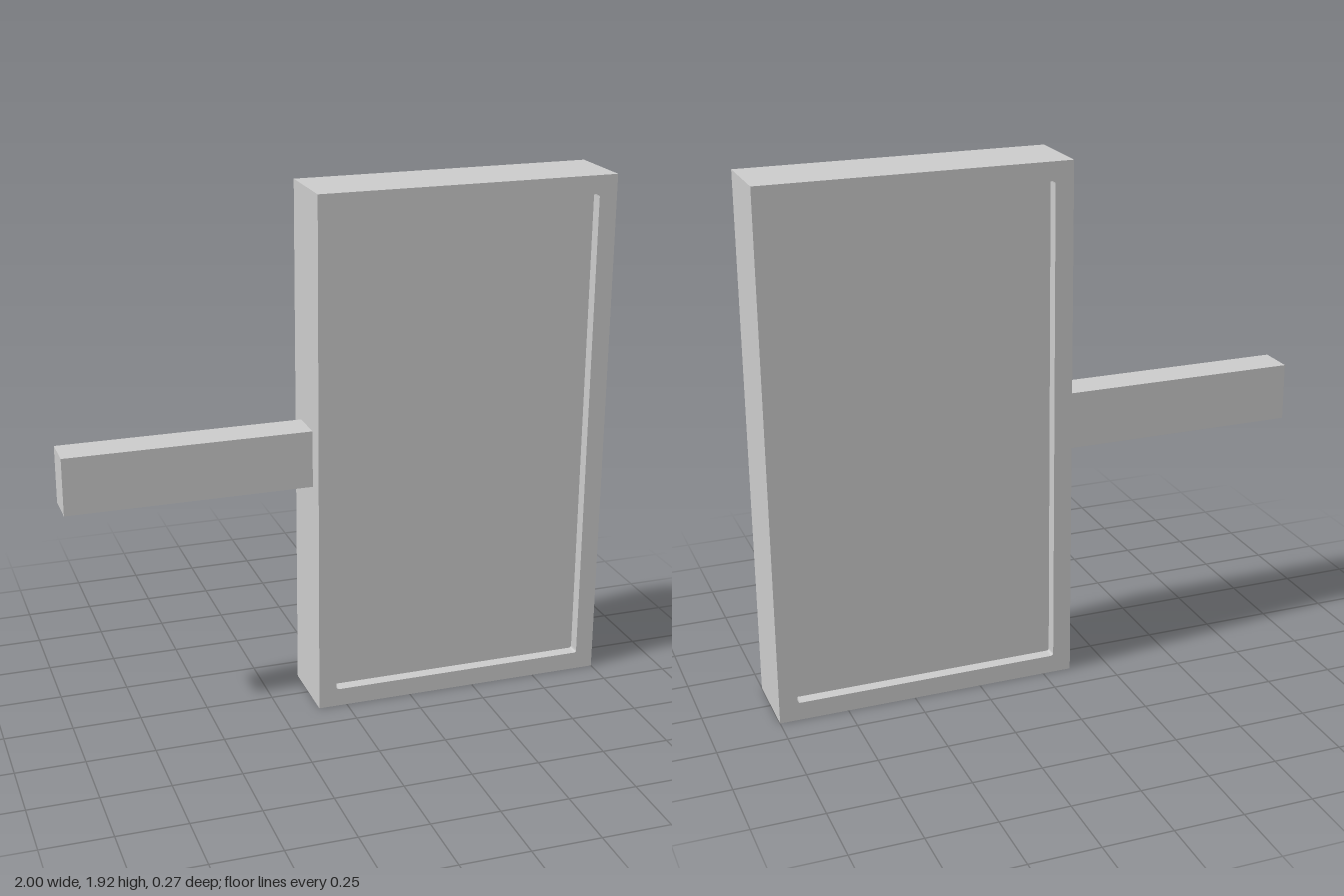
import * as THREE from 'three';

const material = new THREE.MeshStandardMaterial({ color: 0xcccccc, flatShading: true });

// Rectangle outline with slightly rounded corners, for a Shape or a Path
function roundedRect(path, x0, y0, x1, y1, r) {
  path.moveTo(x0 + r, y0);
  path.lineTo(x1 - r, y0);
  path.quadraticCurveTo(x1, y0, x1, y0 + r);
  path.lineTo(x1, y1 - r);
  path.quadraticCurveTo(x1, y1, x1 - r, y1);
  path.lineTo(x0 + r, y1);
  path.quadraticCurveTo(x0, y1, x0, y1 - r);
  path.lineTo(x0, y0 + r);
  path.quadraticCurveTo(x0, y0, x0 + r, y0);
  return path;
}

export function createModel() {
  const group = new THREE.Group();
  const add = (name, geometry, x, y, z) => {
    const mesh = new THREE.Mesh(geometry, material);
    mesh.name = name;
    mesh.position.set(x, y, z);
    group.add(mesh);
  };

  const left = -0.107, right = 1, height = 1.925, depth = 0.274;
  const border = 0.067, recess = 0.045;

  // Sign frame: outer box with an opening right through
  const outline = new THREE.Shape([
    new THREE.Vector2(left, 0), new THREE.Vector2(right, 0),
    new THREE.Vector2(right, height), new THREE.Vector2(left, height),
  ]);
  outline.holes.push(roundedRect(new THREE.Path(),
    left + border, border, right - border, height - border, 0.01));
  add('signFrame', new THREE.ExtrudeGeometry(outline,
    { depth, bevelEnabled: false, curveSegments: 4 }), 0, 0, -depth / 2);

  // Panel filling the opening, recessed on both faces
  const panel = roundedRect(new THREE.Shape(),
    left + border, border, right - border, height - border, 0.01);
  const panelDepth = depth - 2 * recess;
  add('signPanel', new THREE.ExtrudeGeometry(panel,
    { depth: panelDepth, bevelEnabled: false, curveSegments: 4 }), 0, 0, -panelDepth / 2);

  // Wall arm
  const armLength = left + 1;
  add('mountingArm', new THREE.BoxGeometry(armLength, 0.21, 0.136), -1 + armLength / 2, 0.96, 0);

  return group;
}
